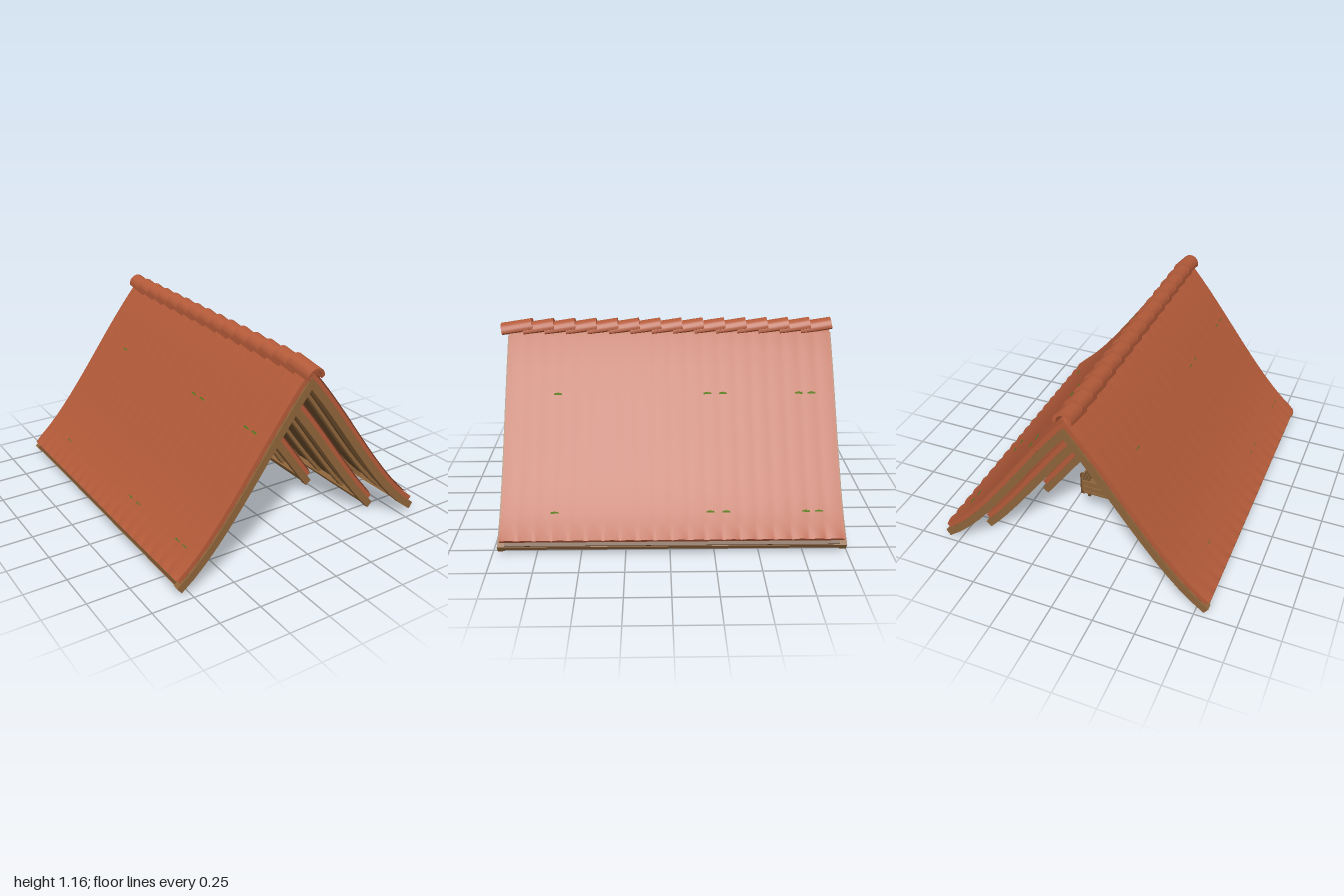
import * as THREE from 'three';
import { toCreasedNormals } from 'three/addons/utils/BufferGeometryUtils.js';

const mat = (name, color, side = THREE.FrontSide) => {
  const m = new THREE.MeshStandardMaterial({ color, side });
  m.name = name;
  return m;
};
const M = {
  tile: mat('terracotta', 0xb35a39, THREE.DoubleSide),
  wood: mat('oak', 0x8d643a),
  plank: mat('darkPlank', 0x6a4a2b),
  stone: mat('stone', 0x8d8276),
  dark: mat('darkRecess', 0x33251b),
  moss: mat('moss', 0x6b8f2a, THREE.DoubleSide),
};

// Flared roof line and its slope
const height = x => 1.105 - 1.08 * x - 0.904 * x * x + 0.886 * x ** 3;
const slope = x => -1.08 - 1.808 * x + 2.658 * x * x;
function roofPoint(x, depth) {
  const k = 1 / Math.hypot(1, slope(x));
  if (x < 1e-6) return new THREE.Vector2(0, height(0) - depth / k);
  return new THREE.Vector2(x + depth * slope(x) * k, height(x) - depth * k);
}

function add(parent, name, geometry, material, x = 0, y = 0, z = 0) {
  const mesh = new THREE.Mesh(geometry, material);
  mesh.name = name;
  mesh.position.set(x, y, z);
  parent.add(mesh);
  return mesh;
}
const box = (parent, name, material, w, h, d, x, y, z) =>
  add(parent, name, new THREE.BoxGeometry(w, h, d), material, x, y, z);

// A bent slab following both slopes between two depths below the tiles
function slab(parent, name, material, x0, x1, d0, d1, z0, z1) {
  for (const side of [1, -1]) {
    const n = 12, top = [], low = [];
    for (let i = 0; i <= n; i++) {
      const x = x0 + (x1 - x0) * i / n;
      top.push(roofPoint(x, d0));
      low.unshift(roofPoint(x, d1));
    }
    const outline = [...top, ...low].map(p => new THREE.Vector2(p.x * side, p.y));
    const geo = new THREE.ExtrudeGeometry(new THREE.Shape(outline), { depth: z1 - z0, bevelEnabled: false });
    add(parent, name, toCreasedNormals(geo, 0.5), material, 0, 0, z0);
  }
}

// Tile skin, almost flat on the slope and scalloped at the eaves
function tileSkin(parent, xEnd, z0, z1) {
  const length = z1 - z0, waves = Math.round(length / 0.0975);
  const geo = new THREE.PlaneGeometry(2, 1, 40, waves * 6);
  const p = geo.attributes.position;
  for (let i = 0; i < p.count; i++) {
    const s = p.getX(i), v = 0.5 - p.getY(i), u = Math.abs(s);
    const ripple = u > 0.96 ? 0.009 : 0.001;
    const q = roofPoint(u * xEnd, ripple * (1 - Math.abs(Math.sin(v * waves * Math.PI))));
    p.setXYZ(i, q.x * Math.sign(s), q.y, z0 + v * length);
  }
  geo.computeVertexNormals();
  add(parent, 'tileSkin', geo, M.tile);
}

// Overlapping half-round ridge tiles, each lifted at its back end
function ridge(parent, z0, z1) {
  const count = Math.round((z1 - z0) / 0.13), step = (z1 - z0 - 0.06) / count;
  const outer = 0.054, inner = 0.036;
  const arch = new THREE.Shape();
  arch.moveTo(outer, -0.012);
  arch.absarc(0, 0, outer, 0, Math.PI, false);
  arch.lineTo(-outer, -0.012);
  arch.lineTo(-inner, -0.012);
  arch.absarc(0, 0, inner, Math.PI, 0, true);
  arch.lineTo(inner, -0.012);
  const geo = toCreasedNormals(
    new THREE.ExtrudeGeometry(arch, { depth: step + 0.06, bevelEnabled: false, curveSegments: 12 }), 0.6);
  for (let i = 0; i < count; i++) {
    const t = add(parent, 'ridgeTile', geo, M.tile, 0, 1.091, z0 + i * step);
    t.rotation.x = 0.155;
  }
}

function roof(name, xEnd, drop, z0, z1, ridge0, ridge1) {
  const g = new THREE.Group();
  g.name = name;
  g.position.y = -drop;
  tileSkin(g, xEnd, z0 + 0.015, z1 - 0.015);
  slab(g, 'tileBed', M.tile, 0, xEnd - 0.004, 0.009, 0.037, z0 + 0.012, z1 - 0.012);
  slab(g, 'boarding', M.plank, 0, xEnd + 0.012, 0.037, 0.046, z0 + 0.01, z1 - 0.01);
  // gable rafters
  for (const z of [z0, z1 - 0.04]) slab(g, 'gableRafter', M.wood, 0, xEnd + 0.018, 0.037, 0.082, z, z + 0.04);
  // inner rafters, with an extra pair close to the gables
  const n = Math.max(3, Math.round((z1 - z0) / 0.22));
  const rafters = [z0 + 0.095, z1 - 0.095];
  for (let i = 1; i < n; i++) rafters.push(z0 + (z1 - z0) * i / n);
  for (const z of rafters) slab(g, 'rafter', M.wood, 0, xEnd + 0.01, 0.045, 0.066, z - 0.02, z + 0.02);
  slab(g, 'eavePurlin', M.wood, xEnd - 0.025, xEnd + 0.015, 0.044, 0.076, z0 + 0.01, z1 - 0.01);
  ridge(g, ridge0, ridge1);
  return g;
}

// Small upright moss tufts growing between the tiles
function mossPatches(parent) {
  const leaf = new THREE.CircleGeometry(0.011, 5);
  for (const side of [1, -1]) for (const x of [0.277, 0.712])
    for (const z of [0.65, -0.23, -0.32, -0.77, -0.845]) {
      const p = roofPoint(x, -0.003);
      for (const k of [-1, 0, 1]) {
        const tuft = add(parent, 'mossTuft', leaf, M.moss, side * p.x, p.y - Math.abs(k) * 0.003, side * z + k * 0.014);
        tuft.rotation.y = Math.PI / 2;
      }
    }
}

// Bay with stone walls, slit and carved timber panel
function bay() {
  const g = new THREE.Group();
  g.name = 'bay';
  box(g, 'stoneWalls', M.stone, 0.31, 0.32, 0.28, 0, 0.48, 0);
  box(g, 'footing', M.stone, 0.3, 0.03, 0.26, 0, 0.115, 0);
  box(g, 'lowerBody', M.stone, 0.31, 0.19, 0.27, 0, 0.225, -0.005);
  box(g, 'floor', M.dark, 0.32, 0.012, 0.28, 0, 0.126, 0);
  box(g, 'slit', M.dark, 0.036, 0.2, 0.008, 0, 0.51, 0.141);
  box(g, 'panelBack', M.plank, 0.33, 0.17, 0.01, 0, 0.225, 0.138);
  for (const [y, h] of [[0.134, 0.025], [0.158, 0.018], [0.3, 0.036]])
    box(g, 'panelRail', M.wood, 0.34, h, 0.03, 0, y, 0.145);
  box(g, 'topBeam', M.wood, 0.32, 0.025, 0.3, 0, 0.648, 0);
  for (const x of [-0.157, 0.157]) {
    box(g, 'panelPost', M.wood, 0.022, 0.18, 0.03, x, 0.22, 0.145);
    box(g, 'wallPost', M.wood, 0.016, 0.34, 0.016, x, 0.48, 0.14);
  }
  // crossed lattice
  for (let i = 0; i < 4; i++) for (const s of [1, -1]) {
    const x = -0.111 + i * 0.074;
    box(g, 'lattice', M.wood, 0.024, 0.13, 0.014, x, 0.225, 0.148).rotation.z = s * 0.55;
  }
  for (const x of [-0.074, 0, 0.074]) box(g, 'latticePost', M.wood, 0.016, 0.12, 0.016, x, 0.225, 0.148);
  return g;
}

function wheel(x, y, z) {
  const g = new THREE.Group();
  g.name = 'wheel';
  g.position.set(x, y, z);
  g.rotation.y = Math.PI / 2;
  add(g, 'rim', new THREE.TorusGeometry(0.068, 0.009, 6, 20), M.wood);
  add(g, 'hub', new THREE.CylinderGeometry(0.016, 0.016, 0.034, 10), M.plank).rotation.x = Math.PI / 2;
  for (let i = 0; i < 4; i++) box(g, 'spokes', M.wood, 0.009, 0.13, 0.009, 0, 0, 0).rotation.z = i * Math.PI / 4;
  return g;
}

// Two-wheeled cart
function cart() {
  const g = new THREE.Group();
  g.name = 'cart';
  for (let i = 0; i < 5; i++) box(g, 'floorPlank', M.wood, 0.045, 0.012, 0.36, -0.096 + i * 0.048, 0.225, -0.37);
  for (const s of [1, -1]) {
    for (const y of [0.255, 0.295, 0.335]) box(g, 'sidePlank', M.wood, 0.01, 0.033, 0.36, s * 0.12, y, -0.37);
    for (const z of [-0.54, -0.37, -0.2]) box(g, 'sidePost', M.plank, 0.014, 0.15, 0.016, s * 0.128, 0.285, z);
    box(g, 'shaft', M.plank, 0.018, 0.018, 0.6, s * 0.08, 0.21, -0.25);
    g.add(wheel(s * 0.155, 0.19, -0.42));
  }
  for (const y of [0.255, 0.295]) box(g, 'endPlank', M.wood, 0.24, 0.033, 0.01, 0, y, -0.545);
  add(g, 'axle', new THREE.CylinderGeometry(0.01, 0.01, 0.33, 8), M.plank, 0, 0.19, -0.42).rotation.z = Math.PI / 2;
  return g;
}

export function createModel() {
  const model = new THREE.Group();
  model.name = 'nestedRoofs';
  const outer = roof('outerRoof', 0.834, 0, -0.992, 0.966, -0.992, 1);
  mossPatches(outer);
  model.add(outer);
  model.add(roof('middleRoof', 0.672, 0.18, -0.81, 0.79, -0.82, 0.82));
  model.add(roof('innerRoof', 0.46, 0.385, -0.46, 0.45, -0.47, 0.48));
  model.add(bay(), cart());
  return model;
}
